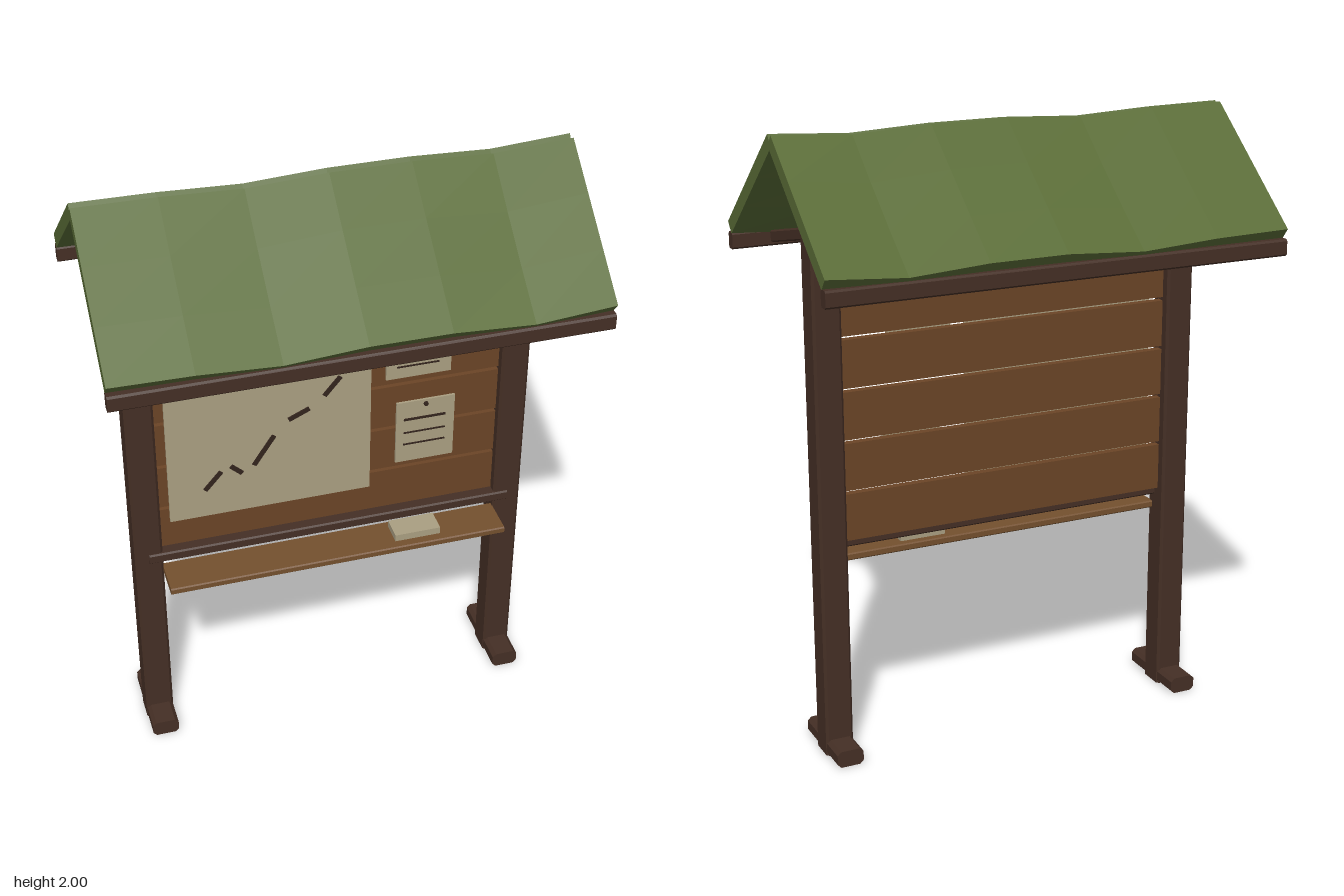
import * as THREE from 'three';

const mat = (color) => {
  const m = new THREE.MeshStandardMaterial({ flatShading: true });
  m.color.set(color);
  return m;
};

export function createModel() {
  const model = new THREE.Group();
  const timber = mat(0x452f25), board = mat(0x6b4526), shelfWood = mat(0x74502e);
  const paper = mat(0xaa9f82), ink = mat(0x33241d), turf = mat(0x5a6c37);

  const add = (name, geometry, material, x = 0, y = 0, z = 0) => {
    const mesh = new THREE.Mesh(geometry, material);
    mesh.name = name;
    mesh.position.set(x, y, z);
    model.add(mesh);
    return mesh;
  };
  const box = (name, material, w, h, d, x, y, z) =>
    add(name, new THREE.BoxGeometry(w, h, d), material, x, y, z);

  // Squared timber along z with chamfered long edges
  const beam = (w, h, length, c = 0.008) => {
    const a = w / 2, b = h / 2;
    const outline = [
      [a - c, -b], [a, -b + c], [a, b - c], [a - c, b],
      [-a + c, b], [-a, b - c], [-a, -b + c], [-a + c, -b],
    ].map(([x, y]) => new THREE.Vector2(x, y));
    const g = new THREE.ExtrudeGeometry(new THREE.Shape(outline), { depth: length, bevelEnabled: false });
    return g.translate(0, 0, -length / 2);
  };

  // Posts, feet and sloping roof brackets
  for (const s of [-1, 1]) {
    const x = s * 0.61;
    add('post', beam(0.092, 0.092, 1.71).rotateX(-Math.PI / 2), timber, x, 0.855, 0);
    add('foot', beam(0.088, 0.055, 0.274, 0.012), timber, x, 0.0275, 0);
    for (const f of [-1, 1]) {
      const bracket = add('roofBracket', beam(0.055, 0.038, 0.38, 0.005), timber, x, 1.658, f * 0.186);
      bracket.rotation.x = f * Math.atan2(0.082, 0.37);
    }
  }

  // Eave beams and frame rails
  for (const f of [-1, 1])
    add('eaveBeam', beam(0.036, 0.053, 1.51, 0.006).rotateY(Math.PI / 2), timber, 0, 1.607, f * 0.412);
  for (const y of [1.536, 0.702])
    add('rail', beam(0.045, 0.035, 1.22, 0.005).rotateY(Math.PI / 2), timber, 0, y, 0.03);

  // Backing planks with narrow gaps
  for (let i = 0; i < 5; i++)
    box('plank', board, 1.14, 0.154, 0.026, 0, 1.453 - i * 0.1655, 0);

  // Shelf and the booklet on it
  add('shelf', beam(0.138, 0.024, 1.13, 0.004).rotateY(Math.PI / 2), shelfWood, 0, 0.644, 0.089);
  box('booklet', paper, 0.155, 0.025, 0.08, 0.272, 0.668, 0.087);

  // Map sheet with a dashed trail and its end marker
  box('mapSheet', paper, 0.665, 0.585, 0.008, -0.197, 1.112, 0.018);
  const dashes = [
    [-0.412, 0.925, -0.358, 0.988], [-0.325, 1.003, -0.29, 0.97], [-0.25, 0.993, -0.183, 1.095],
    [-0.135, 1.147, -0.067, 1.178], [-0.018, 1.217, 0.034, 1.28],
  ];
  for (const [x0, y0, x1, y1] of dashes) {
    const dash = box('trailDash', ink, Math.hypot(x1 - x0, y1 - y0), 0.015, 0.006,
      (x0 + x1) / 2, (y0 + y1) / 2, 0.024);
    dash.rotation.z = Math.atan2(y1 - y0, x1 - x0);
  }
  const dot = (name, r, x, y) =>
    add(name, new THREE.CylinderGeometry(r, r, 0.008, 8).rotateX(Math.PI / 2), ink, x, y, 0.025);
  dot('trailMarker', 0.017, 0.055, 1.311);

  // Pinned notices with ruled lines
  const notices = [
    { x: 0.292, y: 1.312, w: 0.215, h: 0.157, lines: [1.343, 1.307, 1.277], pin: 1.375 },
    { x: 0.32, y: 1.017, w: 0.196, h: 0.235, lines: [1.067, 1.015, 0.969], pin: 1.12 },
  ];
  for (const n of notices) {
    box('notice', paper, n.w, n.h, 0.008, n.x, n.y, 0.018);
    n.lines.forEach((y, i) => box('noticeLine', ink, 0.14, i ? 0.005 : 0.008, 0.004, n.x - 0.003, y, 0.023));
    dot('pin', 0.008, n.x, n.pin);
  }

  // Two turf slabs, sagging along their length
  const sag = [0, 0.25, 1, 0.15, 0.2, 1, 0];
  const pitch = 0.679, length = 0.533, width = 1.51;
  for (const f of [-1, 1]) {
    const g = new THREE.BoxGeometry(width, 0.045, length, 6, 1, 3);
    g.rotateX(f * pitch).translate(0, 1.815, f * 0.208);
    const p = g.attributes.position;
    for (let i = 0; i < p.count; i++) {
      const column = Math.round((p.getX(i) / width + 0.5) * 6);
      const down = Math.min(1, Math.max(0, Math.abs(p.getZ(i)) / 0.42));
      const drop = sag[column] * (0.014 + 0.008 * Math.sin(Math.PI * down) + 0.006 * down);
      p.setY(i, p.getY(i) - drop);
    }
    add(f > 0 ? 'frontRoof' : 'backRoof', g, turf);
  }

  return model;
}
